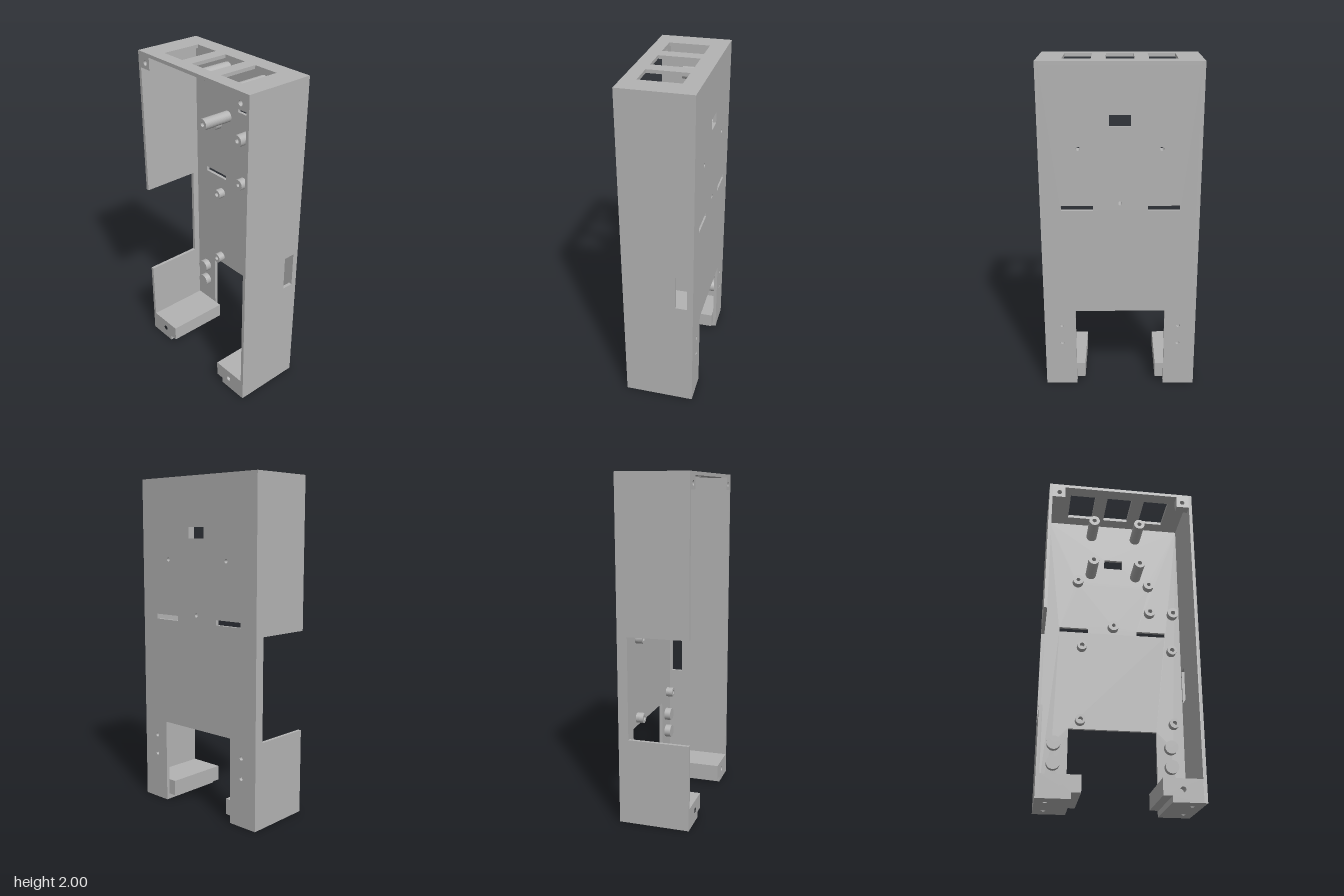
import * as THREE from 'three';

const W = 0.46, H = 2, D = 0.21, T = 0.02;   // half width, height, half depth, wall
const BACK = -D + T;                         // inner face of the back wall

const rect = (x0, x1, y0, y1) => [[x0, y0], [x1, y0], [x1, y1], [x0, y1]];
const points = (list) => list.map(([x, y]) => new THREE.Vector2(x, y));
const circle = (x, y, r) => new THREE.Path().absarc(x, y, r, 0, Math.PI * 2, true);

// Extrude an outline with polygon cut-outs and round holes [x, y, radius]
function plate(outline, depth, cuts = [], rounds = []) {
  const shape = new THREE.Shape(points(outline));
  cuts.forEach((c) => shape.holes.push(new THREE.Path(points(c))));
  rounds.forEach(([x, y, r]) => shape.holes.push(circle(x, y, r)));
  return new THREE.ExtrudeGeometry(shape, { depth, bevelEnabled: false, curveSegments: 16 });
}

export function createModel() {
  const model = new THREE.Group();
  const grey = new THREE.MeshStandardMaterial({ color: 0xb3b3b3 });
  grey.name = 'grey plastic';
  const add = (name, geometry) => {
    const mesh = new THREE.Mesh(geometry, grey);
    mesh.name = name;
    model.add(mesh);
  };

  // Back wall with bottom opening, slots and screw holes
  const wx = W - T, open = 0.27, openTop = 0.51;
  const screwPosts = [[-0.235, 1.52], [0.235, 1.52], [0, 1.2]];
  const pads = [[-0.355, 0.41], [-0.355, 0.29], [0.355, 0.41], [0.355, 0.29]];
  add('backWall', plate(
    [[-wx, 0], [-open, 0], [-open, openTop], [open, openTop], [open, 0], [wx, 0], [wx, H - T], [-wx, H - T]],
    T,
    [rect(-0.06, 0.06, 1.645, 1.71), rect(-0.345, -0.16, 1.155, 1.185), rect(0.155, 0.34, 1.155, 1.185)],
    [...screwPosts, ...pads].map(([x, y]) => [x, y, 0.012]),
  ).translate(0, 0, -D));

  // Left side wall with a small slot
  add('leftWall', plate(rect(-D, D, 0, H), T, [rect(-0.175, -0.105, 0.7, 0.915)])
    .rotateY(-Math.PI / 2).translate(W, 0, 0));

  // Right side wall with a large notch open to the front
  add('rightWall', plate(
    [[-D, 0], [D, 0], [D, 0.51], [-0.15, 0.51], [-0.15, 1.11], [D, 1.11], [D, H], [-D, H]], T,
  ).rotateY(-Math.PI / 2).translate(-wx, 0, 0));

  // Top wall with three windows
  add('topWall', plate(rect(-wx, wx, -D, D), T,
    [-0.24, 0, 0.24].map((x) => rect(x - 0.08, x + 0.08, -0.13, 0.11)))
    .rotateX(-Math.PI / 2).translate(0, H - T, 0));

  // Hollow standoffs on the back wall
  const post = (name, x, y, r, hole, tip) =>
    add(name, plateRing(r, hole, tip - BACK).translate(x, y, BACK));
  for (const x of [-0.15, 0.15])
    for (const y of [1.59, 1.89]) post('longStandoff', x, y, 0.035, 0.014, 0.005);
  screwPosts.forEach(([x, y]) => post('screwStandoff', x, y, 0.035, 0.012, -0.145));
  [[0.24, 1.32], [0.393, 1.32]].forEach(([x, y]) => post('shortStandoff', x, y, 0.035, 0.014, -0.145));
  for (const x of [-0.2, 0.378])
    for (const y of [0.56, 1.05]) post('shortStandoff', x, y, 0.031, 0.014, -0.145);

  // Solid round pads beside the opening
  pads.forEach(([x, y]) => add('roundPad',
    new THREE.CylinderGeometry(0.041, 0.041, 0.04, 32).rotateX(Math.PI / 2).translate(x, y, BACK + 0.02)));

  for (const s of [-1, 1]) {
    const side = s > 0 ? 'left' : 'right';
    const span = (a, b) => [Math.min(s * a, s * b), Math.max(s * a, s * b)];
    const inner = 0.218, step = 0.035, top = 0.13, split = 0.15;

    // Corner tab with screw hole
    add(side + 'CornerTab', plate(rect(...span(0.36, wx), 1.905, H - T), 0.05, [], [[s * 0.397, 1.94, 0.015]])
      .translate(0, 0, D - 0.05));
    add(side + 'CornerTabBack', new THREE.BoxGeometry(wx - 0.36, H - T - 1.905, 0.006)
      .translate(s * (wx + 0.36) / 2, (H - T + 1.905) / 2, D - 0.053));

    // Foot: stepped front slab with screw hole, upper block, drilled sole
    const profile = [[wx, 0], [wx, top], [inner, top], [inner, step], [open, step], [open, 0]]
      .map(([x, y]) => [s * x, y]);
    add(side + 'FootFront', plate(profile, D - split, [], [[s * 0.328, 0.07, 0.016]]).translate(0, 0, split));
    add(side + 'FootBlock', new THREE.BoxGeometry(wx - inner, top - step, split - BACK)
      .translate(s * (wx + inner) / 2, (top + step) / 2, (split + BACK) / 2));
    add(side + 'FootSole', plate(rect(...span(open, wx), -split, -BACK), step, [],
      [[s * 0.4, -0.11, 0.013], [s * 0.4, 0.11, 0.013]]).rotateX(-Math.PI / 2));
  }
  return model;
}

// Round tube with a bore, running along z
function plateRing(r, hole, depth) {
  const shape = new THREE.Shape().absarc(0, 0, r, 0, Math.PI * 2, false);
  shape.holes.push(circle(0, 0, hole));
  return new THREE.ExtrudeGeometry(shape, { depth, bevelEnabled: false, curveSegments: 16 });
}
